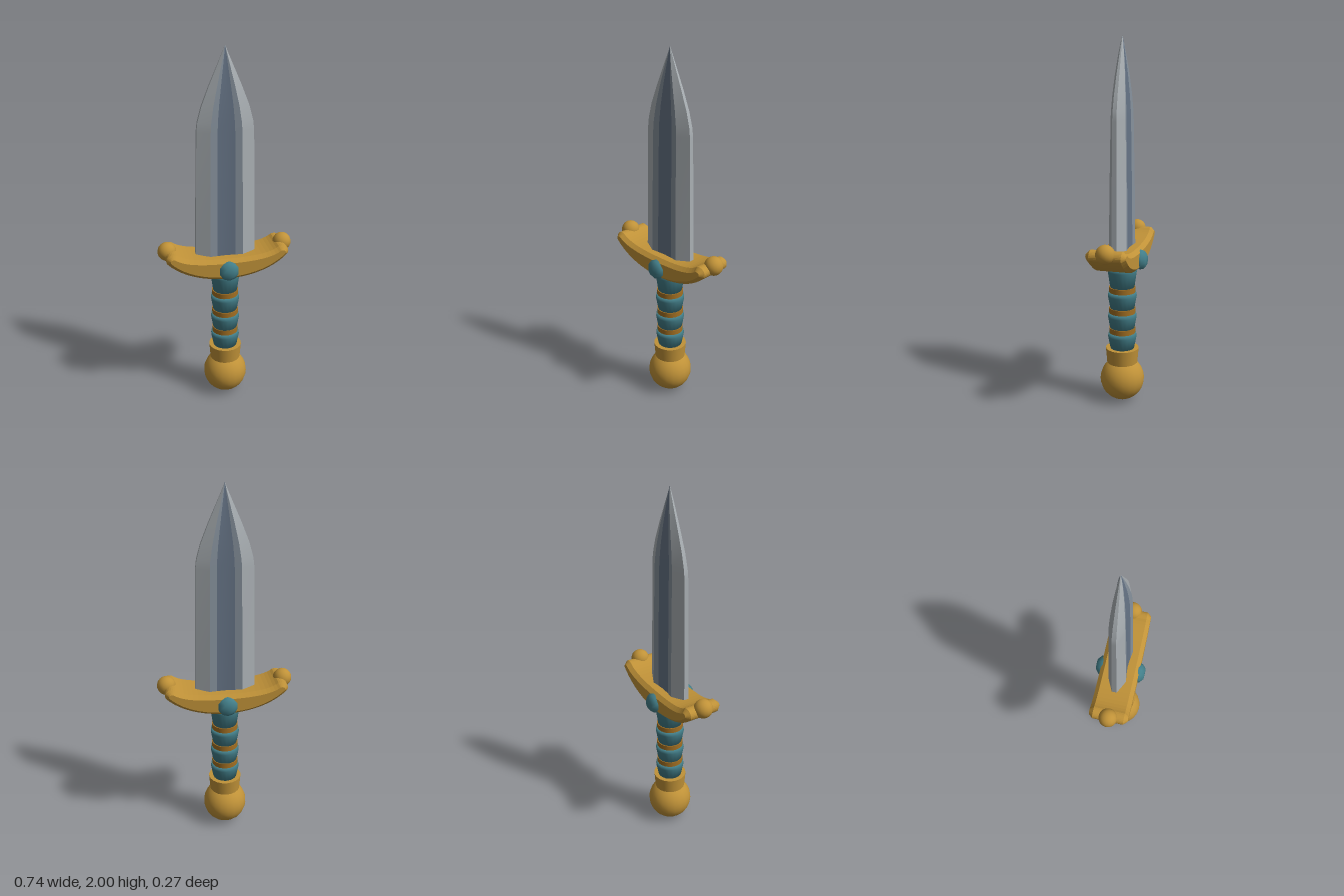
import * as THREE from 'three';

export function createModel() {
  const model = new THREE.Group();
  model.name = 'dagger';

  const material = (name, color, extra = {}) => {
    const m = new THREE.MeshStandardMaterial({ color, ...extra });
    m.name = name;
    return m;
  };
  const gold = material('gold', 0xc09238);
  const bronze = material('bronze', 0xa26f22);
  const teal = material('teal', 0x437f8a);
  const silver = material('silver', 0xaab0b4);
  const steel = material('steel', 0x86919c);
  const slate = material('slate', 0x667486);

  const add = (name, geometry, mat, x = 0, y = 0, z = 0) => {
    const mesh = new THREE.Mesh(geometry, mat);
    mesh.name = name;
    mesh.position.set(x, y, z);
    model.add(mesh);
    return mesh;
  };
  const lathe = (pts, sides) =>
    new THREE.LatheGeometry(pts.map(([r, y]) => new THREE.Vector2(r, y)), sides);

  // Pommel and the collar above it
  add('pommel', new THREE.SphereGeometry(0.123, 20, 14), gold, 0, 0.123, 0);
  add('collar', new THREE.CylinderGeometry(0.092, 0.085, 0.085, 20), gold, 0, 0.2625, 0);

  // Grip: four flared wraps with bronze rings between them
  const wraps = [[0.3, 0.395], [0.41, 0.51], [0.53, 0.63], [0.65, 0.77]];
  wraps.forEach(([low, high], i) => {
    add('gripWrap', lathe([[0, low], [0.066, low], [0.08, high - 0.022], [0.076, high], [0, high]], 20), teal);
    if (i < 3) add('gripRing', new THREE.CylinderGeometry(0.073, 0.073, 0.04, 20), bronze, 0, high + 0.009, 0);
  });

  // Crossguard: chamfered crescent with upswept ends
  const crescent = new THREE.Shape();
  crescent.moveTo(0, 0.765);
  crescent.bezierCurveTo(0.14, 0.765, 0.26, 0.81, 0.33, 0.885);
  crescent.bezierCurveTo(0.345, 0.915, 0.315, 0.945, 0.28, 0.932);
  crescent.bezierCurveTo(0.24, 0.9, 0.16, 0.885, 0, 0.885);
  crescent.bezierCurveTo(-0.16, 0.885, -0.24, 0.9, -0.28, 0.932);
  crescent.bezierCurveTo(-0.315, 0.945, -0.345, 0.915, -0.33, 0.885);
  crescent.bezierCurveTo(-0.26, 0.81, -0.14, 0.765, 0, 0.765);
  add('crossguard', new THREE.ExtrudeGeometry(crescent, {
    depth: 0.17, curveSegments: 10, bevelSegments: 1,
    bevelThickness: 0.022, bevelSize: 0.02, bevelOffset: -0.02,
  }), gold, 0, 0, -0.085);

  // Finials on the guard ends, gems on its two faces
  for (const s of [-1, 1]) {
    add('guardFinial', new THREE.SphereGeometry(0.051, 16, 12), gold, s * 0.319, 0.92, 0);
    const gem = add('gem', lathe([[0.056, 0], [0.052, 0.018], [0.03, 0.037], [0, 0.037]], 10), teal, 0, 0.82, s * 0.1);
    gem.rotation.x = s * Math.PI / 2;
  }

  // Blade: each band of the cross-section swept up the stations [y, width, thickness]
  const stations = [
    [0.82, 1, 1], [1.2, 0.955, 0.92], [1.57, 0.91, 0.8], [1.62, 0.875, 0.77], [1.7, 0.745, 0.69],
    [1.8, 0.51, 0.54], [1.9, 0.25, 0.32], [1.96, 0.095, 0.15], [2, 0, 0],
  ];
  const band = (name, section, mat) => {
    const pos = [], index = [], n = section.length;
    for (const [y, w, t] of stations) for (const [x, z] of section) pos.push(x * w, y, z * t);
    for (let j = 0; j < stations.length - 1; j++) {
      for (let i = 0; i < n - 1; i++) {
        const a = j * n + i, c = a + n;
        index.push(a, a + 1, c + 1);
        if (j < stations.length - 2) index.push(a, c + 1, c);
      }
    }
    const g = new THREE.BufferGeometry();
    g.setAttribute('position', new THREE.Float32BufferAttribute(pos, 3));
    g.setIndex(index);
    g.computeVertexNormals();
    add(name, g, mat);
  };
  for (const s of [1, -1]) {
    const half = (pts) => pts.map(([x, z]) => [x * s, z * s]);
    band('bladeBevel', half([[-0.165, 0.014], [-0.09, 0.05]]), silver);
    band('fullerSlope', half([[-0.09, 0.05], [-0.05, 0.044]]), steel);
    band('fuller', half([[-0.05, 0.044], [0, 0.04], [0.05, 0.044]]), slate);
    band('fullerSlope', half([[0.05, 0.044], [0.09, 0.05]]), steel);
    band('bladeBevel', half([[0.09, 0.05], [0.165, 0.014]]), silver);
    band('bladeEdge', half([[0.165, 0.014], [0.165, -0.014]]), silver);
  }
  return model;
}
